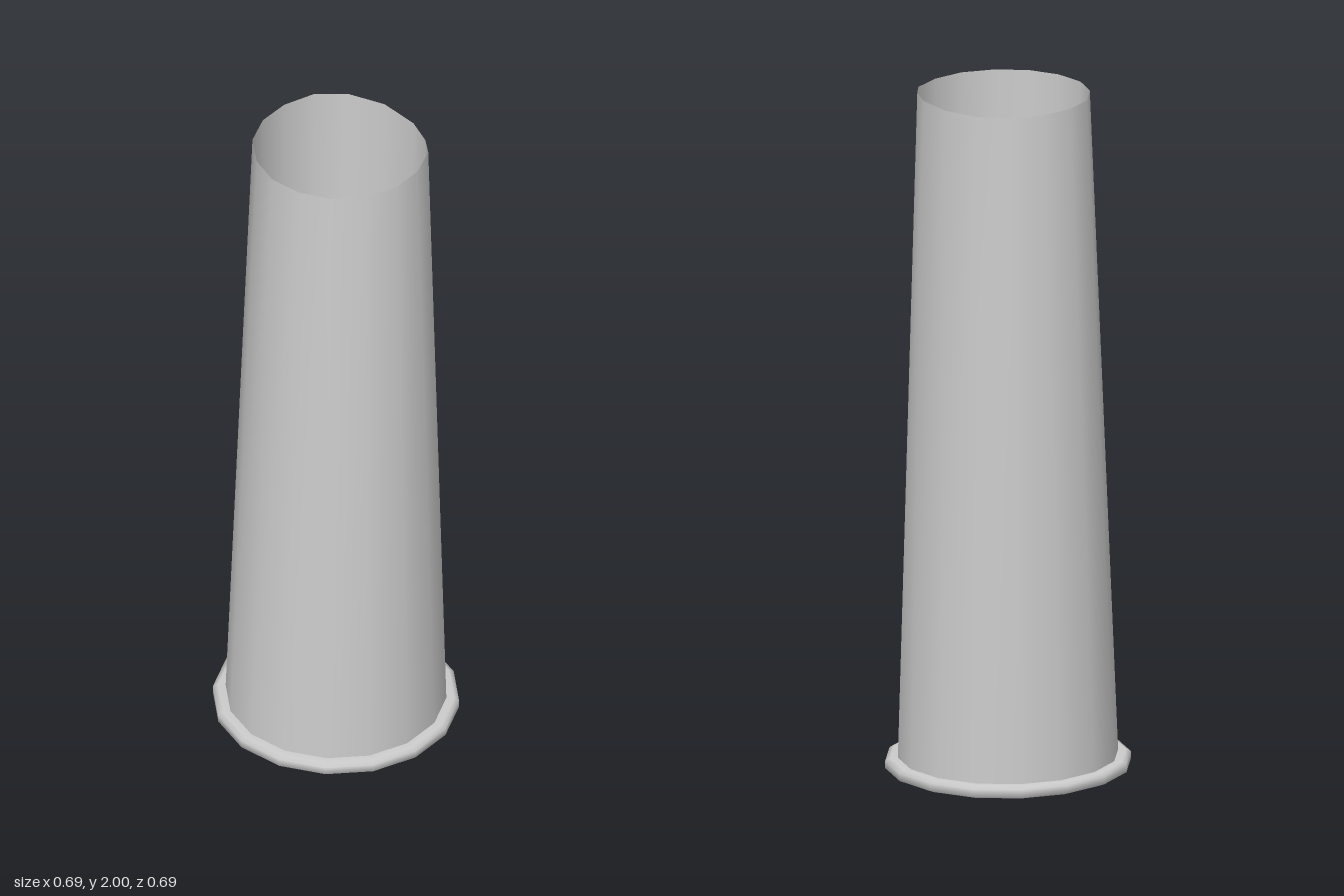
import * as THREE from 'three';

const SIDES = 16;
const TILT = 0.012; // the whole piece leans very slightly towards +x
const material = new THREE.MeshStandardMaterial({ color: 0xcccccc, side: THREE.DoubleSide });

// Slightly uneven mouth outline as x, z pairs
const MOUTH = [
  [0.235, 0.095], [0.195, 0.17], [0.155, 0.213], [0.065, 0.245],
  [-0.03, 0.245], [-0.12, 0.205], [-0.19, 0.135], [-0.225, 0.045],
  [-0.225, -0.053], [-0.187, -0.14], [-0.115, -0.213], [-0.025, -0.247],
  [0.07, -0.245], [0.165, -0.21], [0.225, -0.135], [0.253, -0.025],
];

// Regular ring with flats facing the axes
function ring(radius, y) {
  return Array.from({ length: SIDES }, (_, k) => {
    const a = ((k + 0.5) / SIDES) * Math.PI * 2;
    return [radius * Math.cos(a), y, radius * Math.sin(a)];
  });
}

// Ring following the mouth outline, scaled about its own centre
function mouthRing(scale, y) {
  return MOUTH.map(([x, z]) => [0.013 + (x - 0.013) * scale, y, z * scale]);
}

// Smooth skin through a list of rings; rings listed upwards face outwards
function loft(name, rings) {
  const positions = rings.flat().flatMap(([x, y, z]) => [x, y + 0.004 - TILT * x, z]);
  const index = [];
  for (let r = 0; r < rings.length - 1; r++) {
    for (let k = 0; k < SIDES; k++) {
      const a = r * SIDES + k;
      const b = r * SIDES + ((k + 1) % SIDES);
      index.push(a, a + SIDES, b, b, a + SIDES, b + SIDES);
    }
  }
  const geometry = new THREE.BufferGeometry();
  geometry.setAttribute('position', new THREE.Float32BufferAttribute(positions, 3));
  geometry.setIndex(index);
  geometry.computeVertexNormals();
  const mesh = new THREE.Mesh(geometry, material);
  mesh.name = name;
  return mesh;
}

export function createModel() {
  const model = new THREE.Group();
  model.name = 'taperedTube';

  // Tapered body, hollow down to a floor just above the base
  model.add(loft('outerWall', [ring(0.316, 0.03), mouthRing(1, 1.996)]));
  model.add(loft('innerWall', [mouthRing(1, 1.996), mouthRing(0.935, 0.04)]));
  model.add(loft('innerFloor', [mouthRing(0.935, 0.04), mouthRing(0, 0.04)]));

  // Rounded foot rim and closed underside
  model.add(loft('footRim', [
    ring(0.335, 0), ring(0.352, 0.007), ring(0.352, 0.03), ring(0.338, 0.037), ring(0.312, 0.037),
  ]));
  model.add(loft('underside', [ring(0, 0), ring(0.335, 0)]));

  return model;
}
